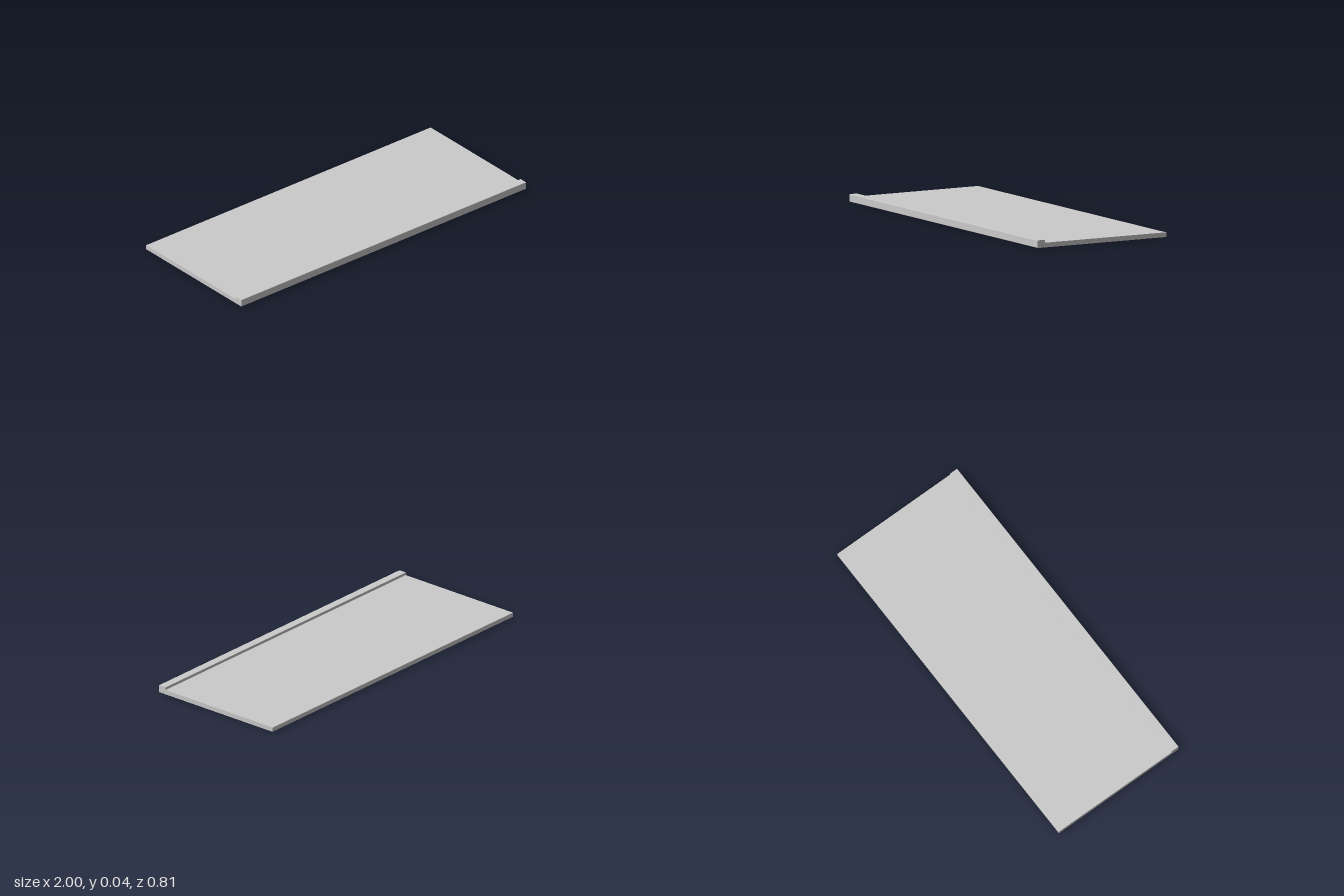
import * as THREE from 'three';

// Closed shape through [x, y, radius] corners, each rounded by its radius.
function roundedShape(corners) {
  const shape = new THREE.Shape();
  const n = corners.length;
  corners.forEach(([x, y, r], i) => {
    const corner = new THREE.Vector2(x, y);
    const toward = (j) => {
      const other = new THREE.Vector2(corners[j][0], corners[j][1]);
      return other.sub(corner).setLength(r).add(corner);
    };
    const a = toward((i + n - 1) % n);
    const b = toward((i + 1) % n);
    if (i === 0) shape.moveTo(a.x, a.y);
    else shape.lineTo(a.x, a.y);
    shape.quadraticCurveTo(x, y, b.x, b.y);
  });
  shape.closePath();
  return shape;
}

export function createModel() {
  const group = new THREE.Group();
  group.name = 'shelfBoard';
  const material = new THREE.MeshStandardMaterial({ color: 0xcccccc });

  // Side profile (z, y): thin slab with a raised lip along the front edge
  const profile = roundedShape([
    [-0.405, 0, 0.003],
    [0.405, 0, 0.003],
    [0.405, 0.042, 0.003],
    [0.358, 0.042, 0.003],
    [0.358, 0.026, 0.002],
    [-0.405, 0.026, 0.003],
  ]);
  const geometry = new THREE.ExtrudeGeometry(profile, {
    depth: 2, bevelEnabled: false, curveSegments: 4,
  });
  // Turn the profile so it runs across the full width
  geometry.rotateY(-Math.PI / 2);
  geometry.translate(1, 0, 0);

  const board = new THREE.Mesh(geometry, material);
  board.name = 'boardWithFrontLip';
  group.add(board);
  return group;
}
